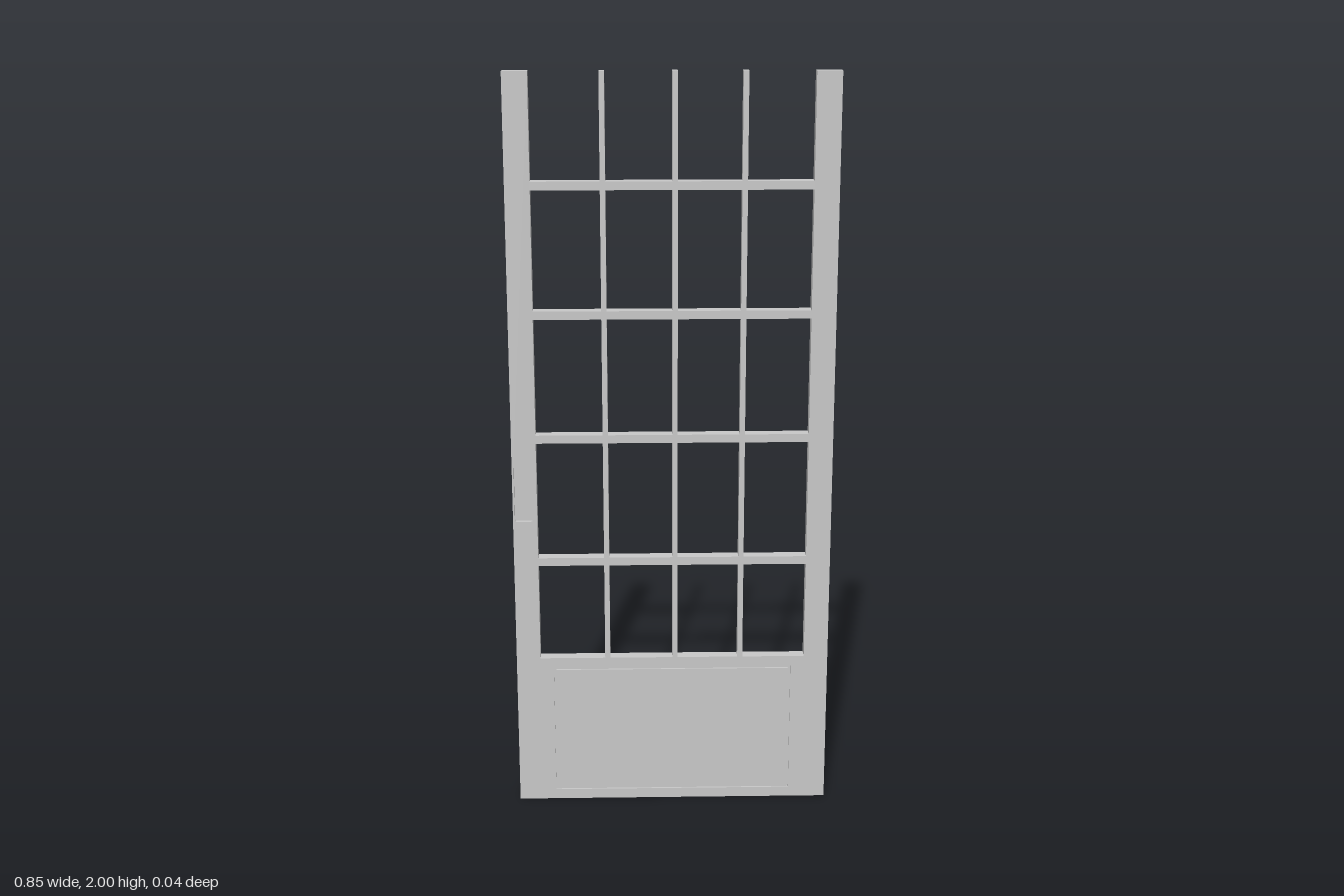
import * as THREE from 'three';

const HALF_W = 0.426, INNER = 0.361, HEIGHT = 2, DEPTH = 0.033;
const RAIL_TOP = 0.425, BAR_H = 0.022, MUNTIN_W = 0.014;
const BARS = [0.705, 1.048, 1.381, 1.715];
const MUNTINS = [-0.177, 0.007, 0.185];

export function createModel() {
  const paint = new THREE.MeshStandardMaterial({ color: 0xc8c8c8 });
  paint.name = 'light grey paint';
  const door = new THREE.Group();
  door.name = 'door';

  function add(name, geometry, z = 0, parent = door) {
    const mesh = new THREE.Mesh(geometry, paint);
    mesh.name = name;
    mesh.position.z = z;
    parent.add(mesh);
    return mesh;
  }

  function block(name, x0, x1, y0, y1, depth = DEPTH, parent = door) {
    const mesh = add(name, new THREE.BoxGeometry(x1 - x0, y1 - y0, depth), 0, parent);
    mesh.position.set((x0 + x1) / 2, (y0 + y1) / 2, 0);
  }

  function trace(path, x0, x1, y0, y1, r) {
    if (!r) {
      path.moveTo(x0, y0).lineTo(x1, y0).lineTo(x1, y1).lineTo(x0, y1).closePath();
      return path;
    }
    path.moveTo(x0 + r, y0);
    path.lineTo(x1 - r, y0).quadraticCurveTo(x1, y0, x1, y0 + r);
    path.lineTo(x1, y1 - r).quadraticCurveTo(x1, y1, x1 - r, y1);
    path.lineTo(x0 + r, y1).quadraticCurveTo(x0, y1, x0, y1 - r);
    path.lineTo(x0, y0 + r).quadraticCurveTo(x0, y0, x0 + r, y0);
    return path;
  }

  // Solid core with a pierced skin on each side, giving a recess front and back
  function recessed(name, outer, hole, r, recess) {
    const part = new THREE.Group();
    part.name = name;
    door.add(part);
    block(name + 'Core', ...outer, DEPTH - 2 * recess, part);
    const shape = trace(new THREE.Shape(), ...outer, 0);
    shape.holes.push(trace(new THREE.Path(), ...hole, r));
    const skin = new THREE.ExtrudeGeometry(shape, { depth: recess, bevelEnabled: false, curveSegments: 4 });
    add(name + 'Front', skin, DEPTH / 2 - recess, part);
    add(name + 'Back', skin, -DEPTH / 2, part);
  }

  // Stiles, the right one with finger pulls
  recessed('rightStile', [-HALF_W, -INNER, 0, HEIGHT], [-0.421, -0.373, 0.82, 0.995], 0.005, 0.011);
  block('leftStile', INNER, HALF_W, 0, HEIGHT);

  // Bottom rail, with a flush panel set off by a narrow groove
  recessed('bottomRail', [-INNER, INNER, 0, RAIL_TOP], [-0.325, 0.325, 0.028, 0.397], 0, 0.005);
  block('bottomPanel', -0.318, 0.318, 0.035, 0.39);

  // Horizontal glazing bars
  for (const y of BARS) block('glazingBar', -INNER, INNER, y - BAR_H / 2, y + BAR_H / 2);

  // Upright muntins, cut between the bars and running open to the top
  const edges = [RAIL_TOP, ...BARS.flatMap((y) => [y - BAR_H / 2, y + BAR_H / 2]), HEIGHT];
  for (const x of MUNTINS) {
    for (let i = 0; i < edges.length; i += 2) {
      block('muntin', x - MUNTIN_W / 2, x + MUNTIN_W / 2, edges[i], edges[i + 1]);
    }
  }

  // The leaf stands very slightly turned
  door.rotation.y = 0.006;
  const model = new THREE.Group();
  model.name = 'glazedDoor';
  model.add(door);
  return model;
}
